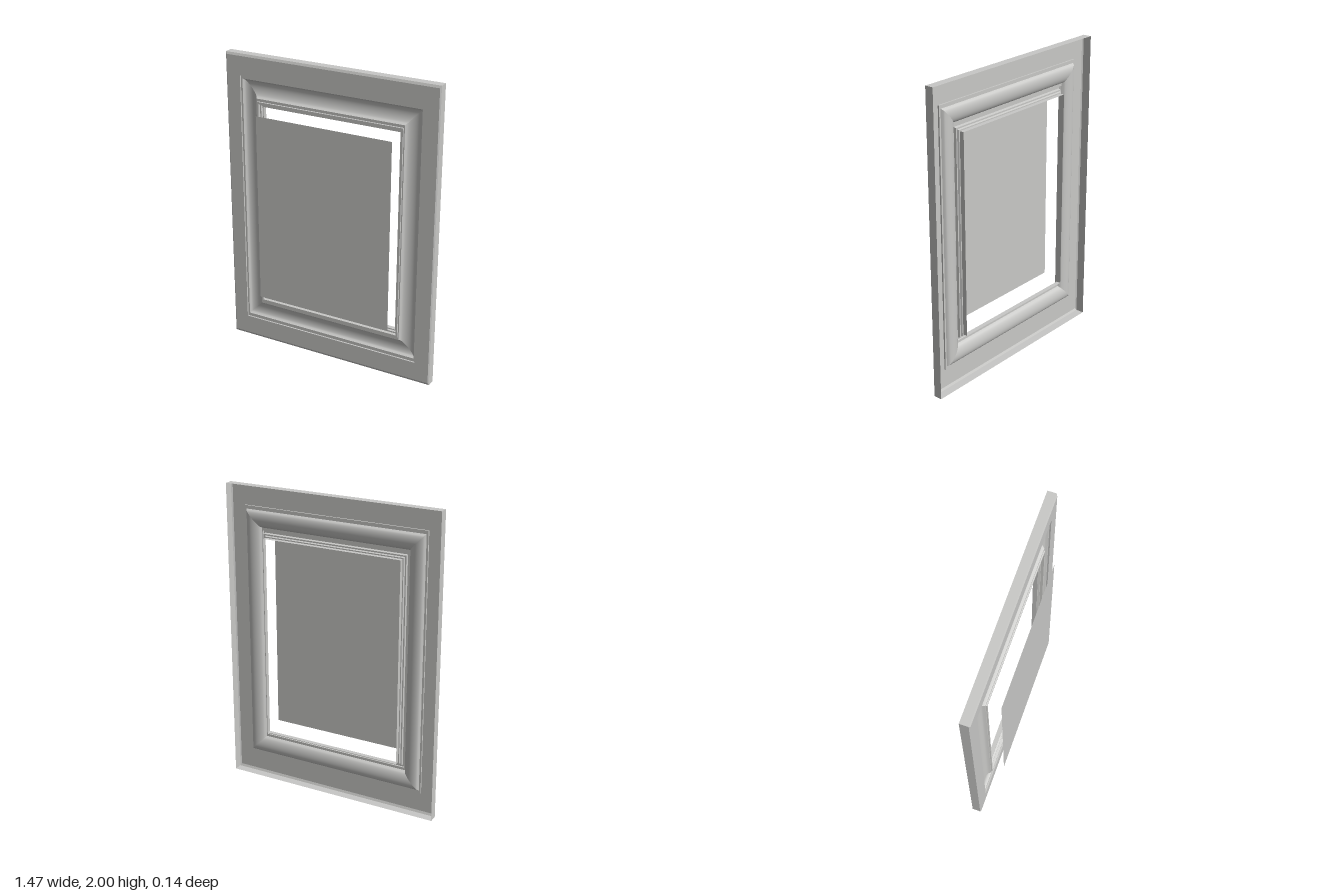
import * as THREE from 'three';

const material = new THREE.MeshStandardMaterial({ color: 0xc8c8c6, side: THREE.DoubleSide });
material.name = 'pale grey';

// Mitred rectangular ring swept through [halfWidth, halfHeight, z] points, outer to inner.
// Each of the four sides keeps its own vertices, so the mitres stay sharp.
function ring(name, points) {
  const corners = [[-1, 1], [-1, -1], [1, -1], [1, 1]];
  const positions = [], index = [];
  for (let k = 0; k < 4; k++) {
    const start = positions.length / 3;
    for (const [hx, hy, z] of points) {
      for (const [sx, sy] of [corners[k], corners[(k + 1) % 4]]) {
        positions.push(sx * hx, 1 + sy * hy, z);
      }
    }
    for (let i = 0; i < points.length - 1; i++) {
      const a = start + i * 2;
      index.push(a, a + 1, a + 3, a, a + 3, a + 2);
    }
  }
  const geometry = new THREE.BufferGeometry();
  geometry.setAttribute('position', new THREE.Float32BufferAttribute(positions, 3));
  geometry.setIndex(index);
  geometry.computeVertexNormals();
  const mesh = new THREE.Mesh(geometry, material);
  mesh.name = name;
  return mesh;
}

// Ring with a hard edge at every profile point
function sharpRing(name, points) {
  const group = new THREE.Group();
  group.name = name;
  for (let i = 0; i < points.length - 1; i++) {
    group.add(ring(name + 'Face' + (i + 1), [points[i], points[i + 1]]));
  }
  return group;
}

export function createModel() {
  const model = new THREE.Group();
  model.name = 'panelledDoor';

  // Outer walls (open at the back), bevelled edge, flat border and small step
  model.add(sharpRing('outerFrame', [
    [0.737, 1.0, -0.071],
    [0.737, 1.0, -0.015],
    [0.729, 0.985, -0.008],
    [0.634, 0.86, -0.008],
    [0.634, 0.86, -0.018],
    [0.622, 0.838, -0.018],
  ]));

  // Smooth concave moulding
  const cove = [];
  const steps = 14;
  for (let i = 0; i <= steps; i++) {
    const t = i / steps;
    cove.push([
      0.622 - 0.106 * t,
      0.838 - 0.112 * t,
      -0.018 + 0.01 * t - 0.028 * Math.sqrt(Math.max(0, 1 - (2 * t - 1) ** 2)),
    ]);
  }
  model.add(ring('coveMoulding', cove));

  // Raised bead and stepped lip around the opening
  model.add(sharpRing('innerLip', [
    [0.516, 0.726, -0.008],
    [0.509, 0.709, -0.008],
    [0.507, 0.707, -0.001],
    [0.498, 0.694, -0.001],
    [0.496, 0.69, -0.018],
    [0.488, 0.681, -0.018],
    [0.484, 0.677, -0.03],
    [0.478, 0.67, -0.03],
    [0.478, 0.67, -0.06],
  ]));

  // Thin loose sheet standing in front of the opening
  const panel = new THREE.Mesh(new THREE.PlaneGeometry(0.945, 1.27), material);
  panel.name = 'centrePanel';
  panel.position.set(0, 1.005, 0.071);
  model.add(panel);

  return model;
}
